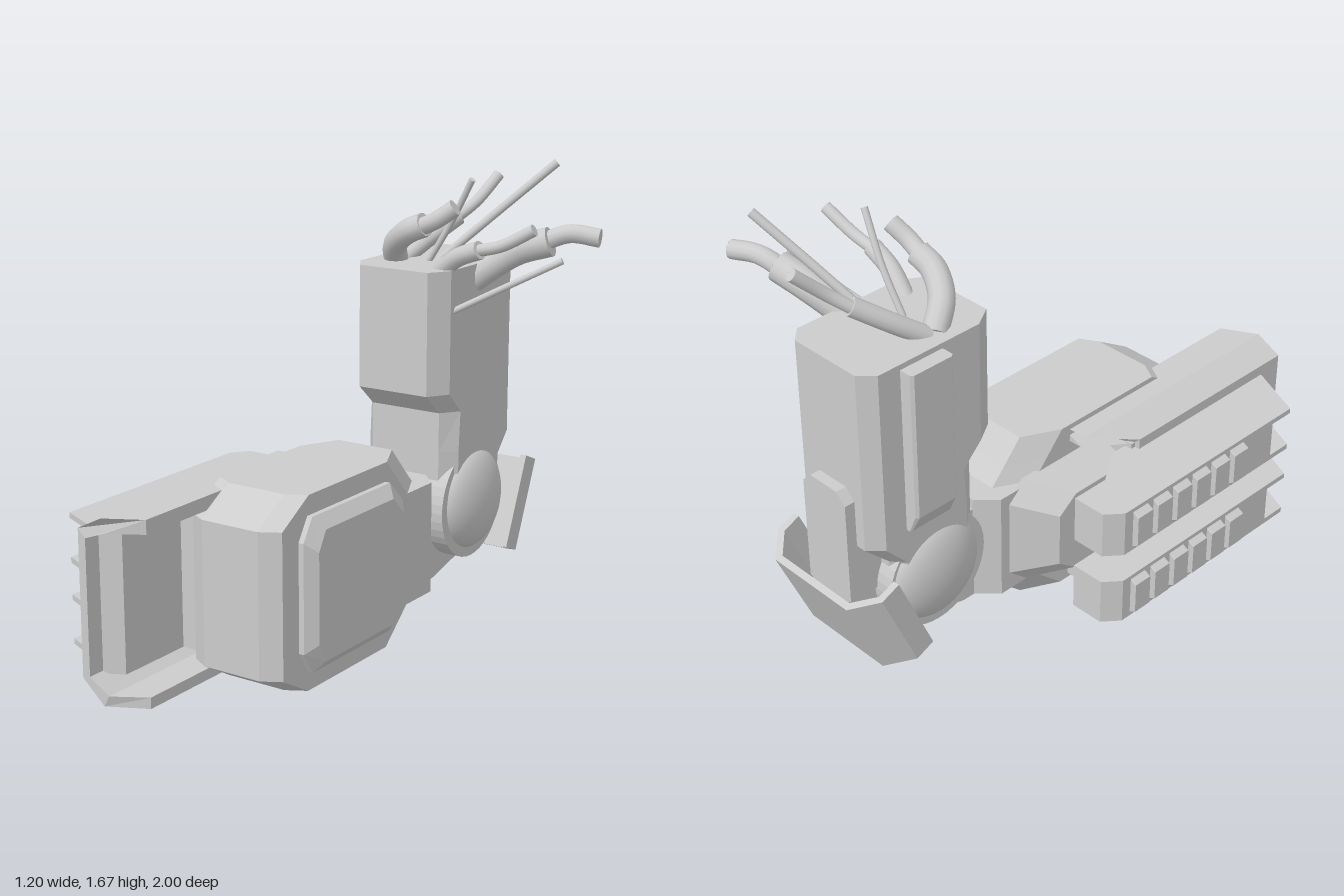
import * as THREE from 'three';

const flat = new THREE.MeshStandardMaterial({ color: 0xcccccc, flatShading: true, side: THREE.DoubleSide });
const smooth = new THREE.MeshStandardMaterial({ color: 0xcccccc, side: THREE.DoubleSide });

// Chamfered rectangle at height y; c = corner cut in x, f / b = cut in z at front / back
function oct(y, x0, x1, z0, z1, c, f, b = f) {
  return [[x0 + c, z1], [x1 - c, z1], [x1, z1 - f], [x1, z0 + b], [x1 - c, z0], [x0 + c, z0], [x0, z0 + b], [x0, z1 - f]]
    .map(([x, z]) => [x, y, z]);
}

// Solid through a stack of rings, closed at both ends
function loft(rings) {
  const pos = [], n = rings[0].length;
  const tri = (a, b, c) => pos.push(...a, ...b, ...c);
  for (let r = 0; r < rings.length - 1; r++) {
    const a = rings[r], b = rings[r + 1];
    for (let i = 0; i < n; i++) {
      const j = (i + 1) % n;
      tri(a[i], a[j], b[j]);
      tri(a[i], b[j], b[i]);
    }
  }
  const bot = rings[0], top = rings[rings.length - 1];
  for (let i = 1; i < n - 1; i++) {
    tri(top[0], top[i], top[i + 1]);
    tri(bot[0], bot[i + 1], bot[i]);
  }
  const g = new THREE.BufferGeometry();
  g.setAttribute('position', new THREE.Float32BufferAttribute(pos, 3));
  g.computeVertexNormals();
  return g;
}

const shapeOf = pts => new THREE.Shape(pts.map(([x, y]) => new THREE.Vector2(x, y)));

// Plan outline (x, z) raised from y0 to y1
function prism(plan, y0, y1) {
  const g = new THREE.ExtrudeGeometry(shapeOf(plan.map(([x, z]) => [x, -z])), { depth: y1 - y0, bevelEnabled: false });
  return g.rotateX(-Math.PI / 2).translate(0, y0, 0);
}

function box(x0, x1, y0, y1, z0, z1) {
  return new THREE.BoxGeometry(x1 - x0, y1 - y0, z1 - z0).translate((x0 + x1) / 2, (y0 + y1) / 2, (z0 + z1) / 2);
}

function add(parent, name, geometry, material = flat) {
  const m = new THREE.Mesh(geometry, material);
  m.name = name;
  parent.add(m);
  return m;
}

// Round cable with closed ends
function cable(parent, name, r, pts) {
  const curve = new THREE.CatmullRomCurve3(pts.map(p => new THREE.Vector3(...p)));
  const g = new THREE.Group();
  g.name = name;
  add(g, 'sleeve', new THREE.TubeGeometry(curve, 24, r, 12), smooth);
  for (const t of [0, 1]) {
    const cap = add(g, 'cableEnd', new THREE.CircleGeometry(r, 12), smooth);
    const d = curve.getTangent(t).multiplyScalar(t ? 1 : -1);
    cap.position.copy(curve.getPoint(t));
    cap.quaternion.setFromUnitVectors(new THREE.Vector3(0, 0, 1), d);
  }
  parent.add(g);
}

export function createModel() {
  const arm = new THREE.Group();
  arm.name = 'mechanicalArm';

  // Upper arm, stepped at the front and tapered toward the elbow
  add(arm, 'upperArm', loft([
    oct(0.35, -0.16, 0.15, -0.78, -0.41, 0.05, 0.06, 0.04),
    oct(0.52, -0.2, 0.19, -0.78, -0.41, 0.05, 0.06, 0.04),
    oct(0.62, -0.2, 0.19, -0.88, -0.41, 0.05, 0.06, 0.05),
    oct(0.77, -0.2, 0.19, -0.88, -0.41, 0.05, 0.07, 0.05),
    oct(0.85, -0.2, 0.19, -0.88, -0.32, 0.05, 0.08, 0.05),
    oct(1.305, -0.2, 0.19, -0.88, -0.32, 0.05, 0.08, 0.05),
  ]));
  add(arm, 'sideRail', loft([
    oct(0.66, -0.22, -0.18, -0.74, -0.56, 0.005, 0.005),
    oct(0.73, -0.255, -0.18, -0.74, -0.56, 0.01, 0.01),
    oct(1.285, -0.255, -0.18, -0.74, -0.56, 0.01, 0.01),
  ]));
  const backPlate = new THREE.ExtrudeGeometry(
    shapeOf([[-0.11, 0.4], [0.1, 0.4], [0.1, 0.8], [0.06, 0.84], [-0.07, 0.84], [-0.11, 0.8]]),
    { depth: 0.14, bevelEnabled: false });
  add(arm, 'backPlate', backPlate.translate(0, 0, -0.92));

  // Elbow joint with bulging caps
  add(arm, 'elbowDisc', new THREE.CylinderGeometry(0.215, 0.215, 0.36, 40)
    .rotateZ(Math.PI / 2).translate(0, 0.395, -0.59), new THREE.MeshStandardMaterial({ color: 0xcccccc, flatShading: true }));
  for (const s of [-1, 1]) {
    add(arm, 'elbowCap', new THREE.SphereGeometry(0.195, 40, 24).scale(0.45, 1, 1)
      .translate(s * 0.16, 0.405, -0.6), smooth);
  }

  // Tilted elbow guard, a thin channel opening forward
  const guard = add(arm, 'elbowGuard', prism([
    [-0.27, 0.17], [-0.27, 0.09], [-0.185, 0], [0.185, 0], [0.27, 0.09], [0.27, 0.17],
    [0.245, 0.17], [0.245, 0.1], [0.173, 0.025], [-0.173, 0.025], [-0.245, 0.1], [-0.245, 0.17],
  ], 0, 0.36));
  guard.position.set(0, 0.13, -0.86);
  guard.rotation.x = -0.4;
  add(arm, 'guardMount', box(-0.1, 0.09, 0.28, 0.46, -0.92, -0.72));

  // Forearm shell and neck
  add(arm, 'forearm', loft([
    oct(0, -0.19, 0.18, -0.14, 0.52, 0.07, 0.04, 0.14),
    oct(0.08, -0.19, 0.18, -0.23, 0.66, 0.07, 0.04, 0.14),
    oct(0.12, -0.19, 0.18, -0.275, 0.66, 0.07, 0.04, 0.14),
    oct(0.54, -0.19, 0.18, -0.275, 0.66, 0.07, 0.04, 0.14),
    oct(0.6, -0.19, 0.18, -0.22, 0.66, 0.07, 0.04, 0.14),
    oct(0.69, -0.19, 0.18, -0.14, 0.51, 0.07, 0.04, 0.14),
  ]));
  add(arm, 'neck', loft([0.12, 0.54].map(y => oct(y, -0.19, 0.18, -0.37, 0, 0.07, 0.01, 0.07))));
  add(arm, 'neckTongue', loft([
    oct(0.12, -0.12, 0.11, -0.43, -0.3, 0.01, 0.01),
    oct(0.17, -0.12, 0.11, -0.63, -0.3, 0.01, 0.01),
    oct(0.5, -0.12, 0.11, -0.63, -0.3, 0.01, 0.01),
  ]));

  // Raised panels on both flanks of the forearm
  add(arm, 'sidePanel', loft([
    oct(0.17, -0.62, -0.07, -0.07, 0.53, 0.08, 0.05, 0.08),
    oct(0.2, -0.62, -0.07, -0.07, 0.53, 0.08, 0.05, 0.08),
    oct(0.235, -0.575, -0.11, -0.03, 0.49, 0.07, 0.04, 0.07),
  ]).rotateZ(-Math.PI / 2));
  add(arm, 'innerBlock', loft([
    oct(0.18, 0.12, 0.57, -0.27, 0.5, 0.07, 0.08),
    oct(0.32, 0.18, 0.51, -0.14, 0.5, 0.06, 0.08),
  ]).rotateZ(Math.PI / 2));

  // Channel-shaped weapon cover with slanted ends
  const cover = new THREE.ExtrudeGeometry(shapeOf([
    [-0.13, 0.67], [-0.26, 0.67], [-0.36, 0.62], [-0.36, 0.1], [-0.27, 0.02], [-0.13, 0.02],
    [-0.13, 0.06], [-0.25, 0.06], [-0.33, 0.11], [-0.33, 0.59], [-0.25, 0.62], [-0.13, 0.62],
  ]), { depth: 0.96, bevelEnabled: false }).translate(0, 0, 0.04);
  const p = cover.attributes.position;
  for (let i = 0; i < p.count; i++) {
    if (p.getZ(i) > 0.5 && p.getX(i) > -0.17) p.setZ(i, 0.93);
    if (p.getZ(i) < 0.5 && p.getX(i) < -0.32) p.setZ(i, 0.22);
  }
  cover.computeVertexNormals();
  add(arm, 'cover', cover);
  add(arm, 'coverLining', prism([[-0.34, 0.2], [-0.19, 0.2], [-0.19, 0.6], [-0.26, 0.6], [-0.26, 0.9], [-0.34, 0.94]], 0.1, 0.6));

  // Two finned pods outside the cover
  const plan = front => [[-0.53, -0.15], [-0.4, -0.15], [-0.4, 0], [-0.31, 0.14], [-0.34, front + 0.11], [-0.58, front], [-0.58, -0.09]];
  for (const y of [0.105, 0.4]) {
    const pod = new THREE.Group();
    pod.name = 'finnedPod';
    add(pod, 'podCore', prism(plan(0.7), y + 0.015, y + 0.165));
    for (const e of [0, 0.16]) add(pod, 'podFlange', prism(plan(0.8), y + e, y + e + 0.02));
    for (let i = 0; i < 6; i++) {
      const z = -0.05 + i * 0.102;
      add(pod, 'fin', loft([
        oct(0.57, y + 0.01, y + 0.17, z, z + 0.075, 0.002, 0.002),
        oct(0.605, y + 0.03, y + 0.15, z, z + 0.075, 0.002, 0.002),
      ]).rotateZ(Math.PI / 2));
    }
    arm.add(pod);
  }

  // Torn cables at the shoulder end
  const cables = new THREE.Group();
  cables.name = 'cables';
  cable(cables, 'thickCable', 0.055, [[0.13, 1.22, -0.6], [0.2, 1.28, -0.63], [0.3, 1.35, -0.68], [0.42, 1.39, -0.71]]);
  cable(cables, 'thickCableCore', 0.034, [[0.36, 1.37, -0.7], [0.48, 1.42, -0.74], [0.59, 1.41, -0.77]]);
  cable(cables, 'frontCable', 0.045, [[-0.12, 1.29, -0.52], [-0.08, 1.37, -0.45], [0, 1.43, -0.41], [0.07, 1.46, -0.41]]);
  cable(cables, 'frontCableCore', 0.032, [[0.03, 1.44, -0.41], [0.12, 1.48, -0.4], [0.19, 1.53, -0.42]]);
  cable(cables, 'sideCable', 0.034, [[0.1, 1.27, -0.44], [0.2, 1.35, -0.42], [0.3, 1.39, -0.41]]);
  cable(cables, 'sideCableCore', 0.022, [[0.26, 1.38, -0.41], [0.38, 1.41, -0.42], [0.5, 1.475, -0.44]]);
  cable(cables, 'rearCable', 0.034, [[-0.12, 1.29, -0.55], [-0.07, 1.36, -0.65], [0, 1.44, -0.76]]);
  cable(cables, 'rearCableCore', 0.022, [[-0.02, 1.42, -0.74], [0.04, 1.49, -0.82], [0.08, 1.585, -0.92]]);
  cable(cables, 'longWire', 0.016, [[0, 1.29, -0.62], [0.19, 1.48, -0.73], [0.37, 1.66, -0.84]]);
  cable(cables, 'uprightWire', 0.012, [[0, 1.29, -0.54], [0.1, 1.45, -0.54], [0.2, 1.62, -0.52]]);
  cable(cables, 'lowWire', 0.012, [[0.16, 1.14, -0.42], [0.34, 1.24, -0.5], [0.54, 1.35, -0.58]]);
  arm.add(cables);

  return arm;
}
